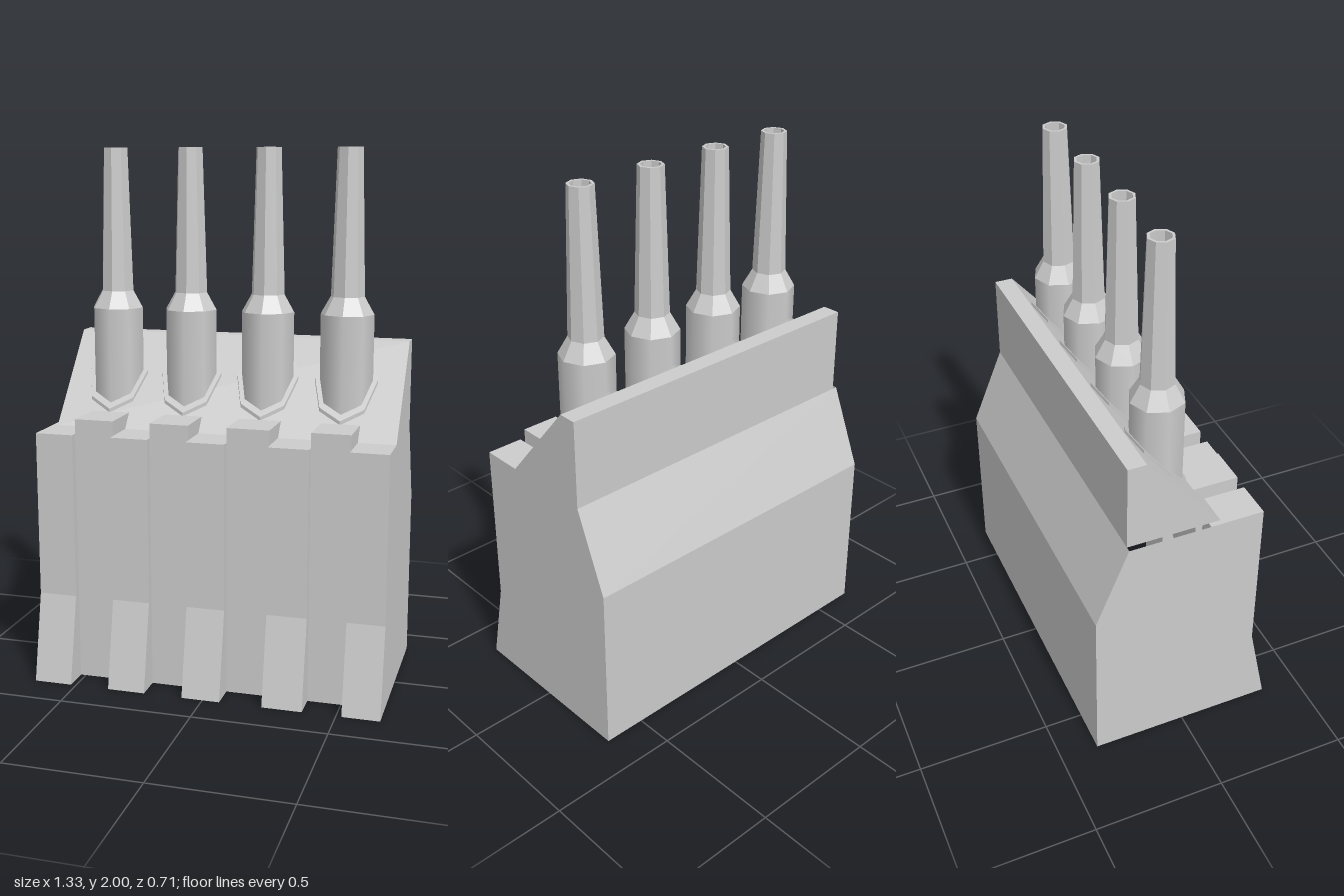
import * as THREE from 'three';

const shell = new THREE.MeshStandardMaterial({ color: 0xcccccc, side: THREE.DoubleSide });
const faceted = new THREE.MeshStandardMaterial({ color: 0xcccccc, side: THREE.DoubleSide, flatShading: true });
const SIDES = 8;
const PIN_Z = -0.037;

// height of the sloping deck at depth z
const deckY = (z) => 0.955 + (0.125 - z) * (0.335 / 0.285);

function add(parent, name, geometry, material = shell) {
  const mesh = new THREE.Mesh(geometry, material);
  mesh.name = name;
  parent.add(mesh);
  return mesh;
}

// sheet swept along x from x0 to x1, following [z, y] points
function sheet(points, x0, x1) {
  const pos = [];
  for (let i = 0; i < points.length - 1; i++) {
    const [za, ya] = points[i], [zb, yb] = points[i + 1];
    pos.push(x0, ya, za, x1, ya, za, x1, yb, zb, x0, ya, za, x1, yb, zb, x0, yb, zb);
  }
  const g = new THREE.BufferGeometry();
  g.setAttribute('position', new THREE.Float32BufferAttribute(pos, 3));
  g.computeVertexNormals();
  return g;
}

// flat wall at a given x, outlined by [z, y] points; side is +1 or -1 for the way it faces
function wall(points, x, side) {
  const shape = new THREE.Shape(points.map(([z, y]) => new THREE.Vector2(-side * z, y)));
  return new THREE.ShapeGeometry(shape).rotateY(side * Math.PI / 2).translate(x, 0, 0);
}

// make the rows of a geometry with y < limit follow the sloping deck
function layOnDeck(g, limit, lift) {
  const p = g.attributes.position;
  for (let i = 0; i < p.count; i++) {
    if (p.getY(i) < limit) p.setY(i, deckY(p.getZ(i) + PIN_Z) + lift);
  }
  return g;
}

function createHousing() {
  const housing = new THREE.Group();
  housing.name = 'housing';
  const L = -0.665, L2 = -0.645, R = 0.66;

  // rear, top rim and sloping deck; the underside stays open
  add(housing, 'rearWall', sheet([[-0.23, 0.955], [-0.355, 0.65], [-0.355, 0]], L, R));
  add(housing, 'upperBody', sheet(
    [[0.125, 0.955], [-0.16, 1.29], [-0.23, 1.29], [-0.23, 0.955]], L2, R));

  // side walls and the gable ends above them
  const side = [[0.355, 0], [0.285, 0.33], [0.285, 0.955], [-0.23, 0.955], [-0.355, 0.65], [-0.355, 0]];
  const gable = [[0.125, 0.955], [-0.16, 1.29], [-0.23, 1.29], [-0.23, 0.955]];
  add(housing, 'rightWall', wall(side, L, -1));
  add(housing, 'leftWall', wall(side, R, 1));
  add(housing, 'rightGable', wall(gable, L2, -1));
  add(housing, 'leftGable', wall(gable, R, 1));

  // front face alternates between flared ribs and taller recessed slots
  const rib = [[0.355, 0], [0.285, 0.33], [0.285, 0.955], [0.125, 0.955]];
  const slot = [[0.255, 0], [0.255, 1.01], [0.08, 1.01]];
  const ribSide = [[0.355, 0], [0.285, 0.33], [0.285, 0.955], [0.255, 0.955], [0.255, 0]];
  const slotSide = [[0.255, 0.955], [0.255, 1.01], [0.08, 1.01], [0.125, 0.955]];
  const edges = [L, -0.52, -0.37, -0.227, -0.08, 0.065, 0.225, 0.375, 0.52, R];
  for (let i = 0; i < edges.length - 1; i++) {
    const isRib = i % 2 === 0;
    add(housing, isRib ? 'frontRib' : 'frontSlot', sheet(isRib ? rib : slot, edges[i], edges[i + 1]));
    if (i === 0) continue;
    const facing = isRib ? -1 : 1;
    add(housing, 'ribSide', wall(ribSide, edges[i], facing));
    add(housing, 'slotSide', wall(slotSide, edges[i], -facing));
  }
  // small ledge reaching back beside the right gable
  add(housing, 'sideLedge', sheet([[0.125, 0.955], [0.08, 0.955]], L, L2));
  return housing;
}

function createPin() {
  const pin = new THREE.Group();
  pin.name = 'pin';

  // straight sleeve, cut off along the deck
  const sleeve = new THREE.CylinderGeometry(0.1, 0.1, 0.4, SIDES, 1, true).translate(0, 1.2, 0);
  add(pin, 'sleeve', layOnDeck(sleeve, 1.2, 0));

  // shoulder, tapered stem and hollow tip
  const profile = [[0.1, 1.4], [0.063, 1.465], [0.047, 2], [0.037, 2], [0.037, 1.9], [0, 1.9]];
  add(pin, 'stem', new THREE.LatheGeometry(
    profile.map(([r, y]) => new THREE.Vector2(r, y)), SIDES), faceted);

  // thin collar lying on the deck around the sleeve
  const rim = new THREE.CylinderGeometry(0.118, 0.118, 1, SIDES, 1, true);
  layOnDeck(rim, 0, 0);
  layOnDeck(rim, 0.6, 0.014);
  const p = rim.attributes.position;
  // the lower row (second half of the vertices) goes back down to the deck
  for (let i = p.count / 2; i < p.count; i++) p.setY(i, deckY(p.getZ(i) + PIN_Z));
  add(pin, 'collarRim', rim, faceted);
  const face = new THREE.RingGeometry(0.1, 0.118, SIDES, 1).rotateX(-Math.PI / 2);
  add(pin, 'collarFace', layOnDeck(face, 0.5, 0.014), faceted);
  return pin;
}

export function createModel() {
  const model = new THREE.Group();
  model.name = 'connectorBlock';
  model.add(createHousing());
  for (const x of [-0.45, -0.155, 0.145, 0.445]) {
    const pin = createPin();
    pin.position.set(x, 0, PIN_Z);
    model.add(pin);
  }
  return model;
}
